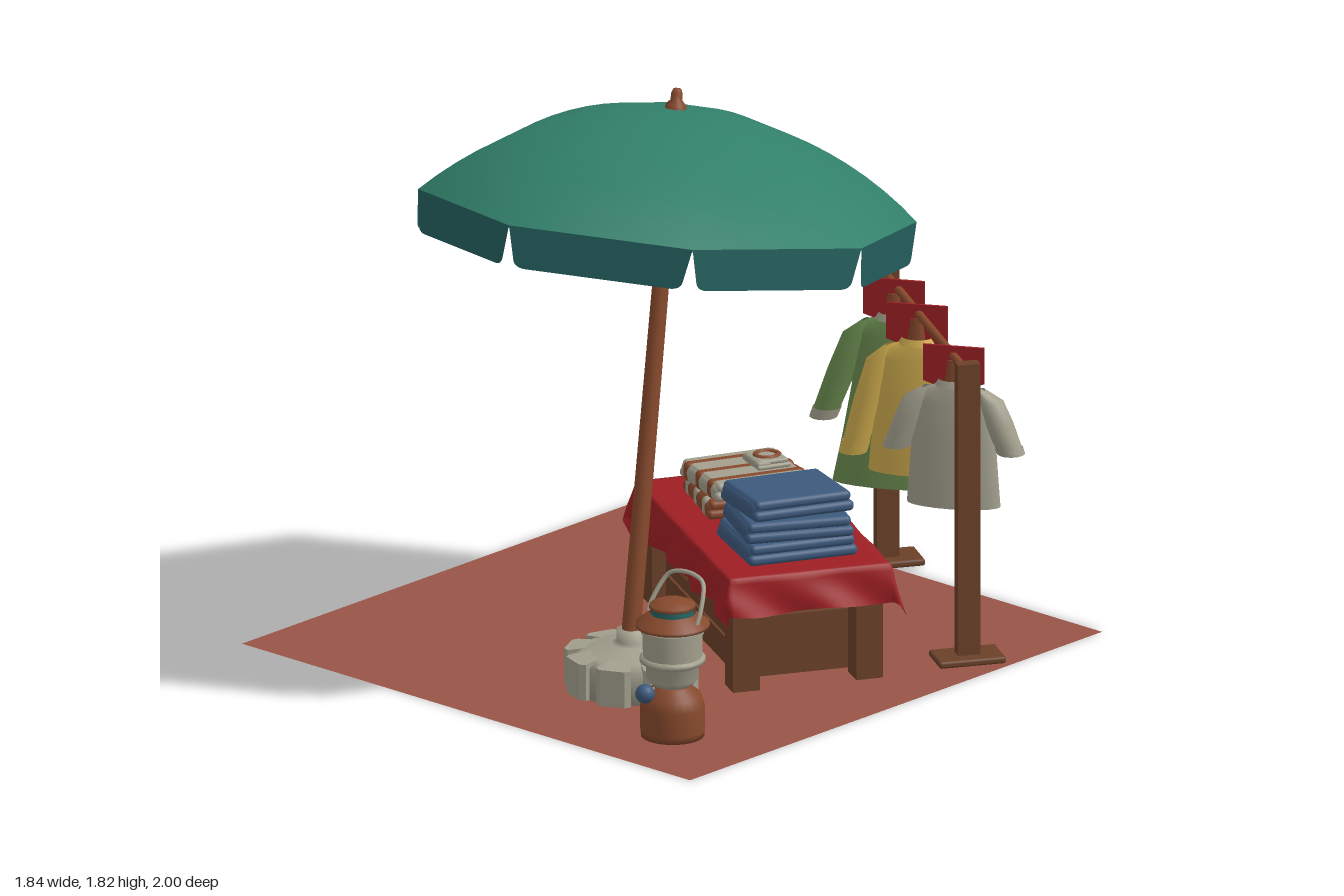
import * as THREE from 'three';
import { RoundedBoxGeometry } from 'three/addons/geometries/RoundedBoxGeometry.js';

const V2 = (x, y) => new THREE.Vector2(x, y);
const V3 = (x, y, z) => new THREE.Vector3(x, y, z);

export function createModel() {
  const model = new THREE.Group();
  model.name = 'marketStall';
  const mat = (name, color) => {
    const m = new THREE.MeshStandardMaterial({ color, side: THREE.DoubleSide });
    m.name = name;
    return m;
  };
  const M = {
    canopy: mat('canopyGreen', 0x31806a), teal: mat('teal', 0x235e5c), wood: mat('wood', 0x6b4129),
    rust: mat('rustBrown', 0x86492c), red: mat('red', 0x9e1f24), ground: mat('clay', 0x985446),
    stone: mat('stone', 0xa3a08e), blue: mat('denimBlue', 0x3d5a7d), yellow: mat('yellow', 0xcfac4e),
    green: mat('leafGreen', 0x6b8c50),
  };
  const add = (parent, name, geo, material, x = 0, y = 0, z = 0) => {
    const m = new THREE.Mesh(geo, material);
    m.name = name;
    m.position.set(x, y, z);
    parent.add(m);
    return m;
  };
  const group = (name, x, y, z, angle = 0, parent = model) => {
    const g = new THREE.Group();
    g.name = name;
    g.position.set(x, y, z);
    g.rotation.y = THREE.MathUtils.degToRad(angle);
    parent.add(g);
    return g;
  };
  const box = (w, h, d) => new THREE.BoxGeometry(w, h, d);
  const cyl = (rt, rb, h, n = 20) => new THREE.CylinderGeometry(rt, rb, h, n);
  const lathe = (pts, n = 24) => new THREE.LatheGeometry(pts.map(p => V2(...p)), n);
  // Elliptical rings [x, y, halfWidth, halfDepth], listed from top to bottom
  const loft = (rings, n = 20) => {
    const pos = [], idx = [];
    rings.forEach(([x, y, w, d], i) => {
      for (let j = 0; j < n; j++) {
        const t = j / n * Math.PI * 2;
        pos.push(x + w * Math.cos(t), y, d * Math.sin(t));
        if (!i) continue;
        const a = (i - 1) * n + j, b = (i - 1) * n + (j + 1) % n;
        idx.push(a, b, a + n, b, b + n, a + n);
      }
    });
    const g = new THREE.BufferGeometry();
    g.setAttribute('position', new THREE.Float32BufferAttribute(pos, 3));
    g.setIndex(idx);
    g.computeVertexNormals();
    return g;
  };

  // Ground sheet
  add(model, 'groundMat', new THREE.PlaneGeometry(1.84, 1.84).rotateX(-Math.PI / 2), M.ground, 0, 0, 0.06);

  // Umbrella base: a core with eight wedge weights
  const base = group('umbrellaBase', 0.215, 0.003, 0.475, 3);
  add(base, 'baseCore', lathe([[0, 0], [0.18, 0], [0.18, 0.1], [0.15, 0.12], [0.06, 0.14], [0.045, 0.15], [0.045, 0.185], [0, 0.185]], 16), M.stone);
  const wedge = new THREE.Shape([V2(0.05, -0.018), V2(0.185, -0.055), V2(0.2, -0.04), V2(0.2, 0.04), V2(0.185, 0.055), V2(0.05, 0.018)]);
  for (let i = 0; i < 8; i++) {
    const geo = new THREE.ExtrudeGeometry(wedge, { depth: 0.135, bevelEnabled: false }).rotateX(-Math.PI / 2);
    const p = geo.attributes.position;
    for (let k = 0; k < p.count; k++) if (p.getY(k) > 0.1 && p.getX(k) > 0.1) p.setY(k, 0.115);
    geo.computeVertexNormals();
    add(base, 'baseWeight', geo, M.stone).rotation.y = (i + 0.5) * Math.PI / 4;
  }

  // Leaning umbrella
  const umbrella = group('umbrella', 0.215, 0.15, 0.48);
  umbrella.quaternion.setFromUnitVectors(V3(0, 1, 0), V3(-0.085, 1.65, -0.3).normalize());
  add(umbrella, 'pole', cyl(0.024, 0.029, 1.64, 16), M.rust, 0, 0.82, 0);
  add(umbrella, 'poleCollar', cyl(0.034, 0.034, 0.045), M.teal, 0, 1.3, 0);
  const canopy = group('canopy', 0, 1.34, 0, 3, umbrella);
  const R = 0.76, H = 0.3, ball = (R * R + H * H) / (2 * H), edge = Math.asin(R / ball);
  const dome = [];
  for (let i = 0; i <= 12; i++) {
    const a = edge * (1 - i / 12);
    dome.push([ball * Math.sin(a), ball * Math.cos(a) - ball + H]);
  }
  add(canopy, 'canopyTop', lathe(dome, 8), M.canopy);
  add(canopy, 'canopyLining', lathe(dome, 8), M.teal, 0, -0.008, 0).scale.setScalar(0.995);
  add(canopy, 'finial', lathe([[0.034, 0.285], [0.032, 0.31], [0.018, 0.325], [0.018, 0.345], [0.012, 0.36], [0, 0.362]], 12), M.rust);
  const hw = R * Math.sin(Math.PI / 8), flap = new THREE.Shape();
  flap.moveTo(-hw, 0);
  flap.lineTo(-hw + 0.022, -0.1);
  flap.quadraticCurveTo(-hw + 0.026, -0.125, -hw + 0.06, -0.127);
  flap.lineTo(hw - 0.06, -0.127);
  flap.quadraticCurveTo(hw - 0.026, -0.125, hw - 0.022, -0.1);
  flap.lineTo(hw, 0);
  for (let i = 0; i < 8; i++) {
    const a = (i + 0.5) * Math.PI / 4, r = R * Math.cos(Math.PI / 8);
    add(canopy, 'valance', new THREE.ShapeGeometry(flap), M.teal, r * Math.sin(a), 0, r * Math.cos(a)).rotation.y = a;
  }

  // Table with crates under it
  const table = group('table', 0.21, 0.003, -0.12, -30);
  add(table, 'tableTop', box(0.94, 0.04, 0.5), M.wood, 0, 0.345, 0);
  for (const s of [-1, 1]) {
    for (const t of [-1, 1]) add(table, 'tableLeg', box(0.085, 0.33, 0.085), M.wood, s * 0.41, 0.165, t * 0.195);
    add(table, 'longApron', box(0.76, 0.1, 0.03), M.wood, 0, 0.285, s * 0.2);
    add(table, 'endApron', box(0.03, 0.1, 0.36), M.wood, s * 0.42, 0.285, 0);
    const crate = group('crate', s * 0.185, 0, 0, 0, table);
    add(crate, 'crateBody', box(0.35, 0.19, 0.37), M.wood, 0, 0.105, 0);
    for (const t of [-1, 1]) {
      for (const y of [0.06, 0.155]) add(crate, 'crateSlat', box(0.352, 0.085, 0.012), M.wood, 0, y, t * 0.189);
      add(crate, 'crateHandle', new RoundedBoxGeometry(0.08, 0.025, 0.008, 2, 0.003), M.rust, 0, 0.165, t * 0.196);
    }
  }

  // Draped tablecloth: everything past the table edge falls, with ripples
  const cloth = new THREE.PlaneGeometry(1.21, 0.77, 60, 40).rotateX(-Math.PI / 2);
  const cp = cloth.attributes.position;
  for (let i = 0; i < cp.count; i++) {
    const x = cp.getX(i), z = cp.getZ(i);
    const ox = Math.max(0, Math.abs(x) - 0.475), oz = Math.max(0, Math.abs(z) - 0.255);
    const fall = Math.hypot(ox, oz), ripple = 1 + 0.5 * Math.sin(x * 26 + z * 22);
    cp.setXYZ(i,
      Math.sign(x) * (Math.min(Math.abs(x), 0.475) + ox * 0.2 * ripple),
      0.372 - Math.max(0, fall - 0.008) * 0.95 - 0.05 * fall * Math.sin(x * 17 - z * 19),
      Math.sign(z) * (Math.min(Math.abs(z), 0.255) + oz * 0.2 * ripple));
  }
  cloth.computeVertexNormals();
  add(table, 'tablecloth', cloth, M.red);

  // Folded denim: each garment is two plies joined by a rounded fold
  const folded = (parent, name, w, d, h, material, x, y, z, turn, tilt) => {
    const g = group(name, x, y, z, turn, parent);
    g.rotation.z = tilt;
    for (const s of [-1, 1])
      add(g, 'ply', new RoundedBoxGeometry(w - (s > 0 ? 0.012 : 0), h * 0.52, d - (s > 0 ? 0.015 : 0), 3, h * 0.24), material, 0, s * h * 0.24, 0);
    add(g, 'fold', new RoundedBoxGeometry(w * 0.94, h * 0.9, 0.05, 3, h * 0.4), material, 0, 0, d / 2 - 0.024);
    return g;
  };
  for (let i = 0; i < 3; i++)
    folded(table, 'foldedJeans', 0.31 - i * 0.008, 0.35 - i * 0.012, 0.064, M.blue, 0.24 + (i % 2) * 0.012, 0.408 + i * 0.065, 0, [2, -3, 4][i], 0.03 * i);

  // Folded striped shirts
  [[0, M.rust], [1, M.stone]].forEach(([i, m]) => {
    const g = folded(table, 'foldedShirt', 0.3, 0.31, 0.056, m, -0.19, 0.404 + i * 0.057, 0, i ? 5 : -2, 0.03 * i);
    for (let k = -1; k <= 1; k++)
      add(g, 'stripe', new RoundedBoxGeometry(0.042, 0.06, 0.316, 3, 0.016), i ? M.rust : M.stone, k * 0.094, 0, 0);
  });
  const collar = folded(table, 'shirtCollar', 0.13, 0.11, 0.028, M.stone, -0.19, 0.503, -0.07, 5, 0.03);
  add(collar, 'collarBand', new THREE.TorusGeometry(0.035, 0.009, 8, 16).rotateX(Math.PI / 2), M.rust, 0, 0.012, 0);

  // Clothes rack
  const rack = group('clothesRack', 0.408, 0.003, -0.635, -32);
  for (const s of [-1, 1]) {
    add(rack, 'rackFoot', new RoundedBoxGeometry(0.13, 0.022, 0.21, 2, 0.008), M.wood, s * 0.462, 0.011, 0);
    add(rack, 'rackPost', box(0.04, 0.95, 0.07), M.wood, s * 0.462, 0.477, 0);
  }
  add(rack, 'rackRail', cyl(0.013, 0.013, 0.92, 12).rotateZ(Math.PI / 2), M.rust, 0, 0.92, 0);

  // Hanging shirts: body, mirrored sleeves, cuffs, neckband and hanger
  const shirt = (name, x, z, m, trim, hem, hemW, cuffX, cuffY) => {
    const g = group(name, x, 0, z, 30);
    const drop = t => 0.78 + (hem - 0.78) * t;
    add(g, 'shirtBody', loft([[0, 0.835, 0.052, 0.035], [0, 0.815, 0.095, 0.038], [0, 0.78, 0.128, 0.043],
      [0, drop(0.35), 0.13, 0.05], [0, drop(0.7), (0.13 + hemW) / 2, 0.052], [0, hem, hemW, 0.055]]), m);
    add(g, 'neckband', loft([[0, 0.85, 0.046, 0.033], [0, 0.828, 0.06, 0.04]]), trim);
    for (const s of [-1, 1]) {
      const mix = t => [s * (0.105 + (cuffX - 0.105) * t), 0.805 + (cuffY - 0.805) * t];
      add(g, 'sleeve', loft([[s * 0.085, 0.82, 0.012, 0.02], [...mix(0.1), 0.042, 0.036],
        [...mix(0.5), 0.045, 0.042], [...mix(1), 0.04, 0.04]], 14), m);
      add(g, 'cuff', loft([[...mix(0.92), 0.044, 0.044], [...mix(1.03), 0.043, 0.043]], 14), trim);
    }
    // Hanger: a red plate with a brown neck
    const plate = new THREE.Shape([V2(-0.095, 0.955), V2(-0.095, 0.84), V2(-0.05, 0.825), V2(0.05, 0.825), V2(0.095, 0.84), V2(0.095, 0.955)]);
    add(g, 'hangerPlate', new THREE.ExtrudeGeometry(plate, { depth: 0.008, bevelEnabled: false }), M.red, 0, 0, -0.004);
    add(g, 'hangerNeck', cyl(0.02, 0.034, 0.1, 12), M.rust, 0, 0.86, 0).scale.z = 0.5;
  };
  shirt('greenShirt', 0.12, -0.8, M.green, M.stone, 0.3, 0.19, 0.215, 0.51);
  shirt('yellowShirt', 0.325, -0.68, M.yellow, M.yellow, 0.42, 0.15, 0.195, 0.48);
  shirt('greyShirt', 0.665, -0.475, M.stone, M.stone, 0.45, 0.145, 0.175, 0.63);

  // Lantern
  const lantern = group('lantern', 0.605, 0.003, 0.715);
  add(lantern, 'fuelTank', lathe([[0, 0], [0.096, 0], [0.098, 0.02], [0.098, 0.095], [0.088, 0.13], [0.06, 0.155], [0.045, 0.17], [0, 0.17]], 28), M.rust);
  add(lantern, 'glassSeat', lathe([[0, 0.165], [0.062, 0.165], [0.08, 0.185], [0.08, 0.225], [0.1, 0.238], [0.1, 0.25], [0.09, 0.255]], 28), M.stone);
  add(lantern, 'glass', cyl(0.092, 0.09, 0.11, 28), M.stone, 0, 0.305, 0);
  add(lantern, 'glassBand', cyl(0.096, 0.096, 0.012, 28), M.stone, 0, 0.335, 0);
  add(lantern, 'hood', lathe([[0.085, 0.345], [0.113, 0.35], [0.113, 0.36], [0.075, 0.388], [0.07, 0.392]], 28), M.rust);
  add(lantern, 'vent', cyl(0.062, 0.066, 0.022, 24), M.teal, 0, 0.4, 0);
  add(lantern, 'cap', lathe([[0.06, 0.408], [0.072, 0.41], [0.068, 0.42], [0.035, 0.434], [0, 0.437]], 24), M.rust);
  add(lantern, 'valveKnob', new THREE.SphereGeometry(0.03, 16, 12), M.blue, -0.03, 0.147, 0.09);
  add(lantern, 'valveStem', cyl(0.011, 0.011, 0.06, 10).rotateX(Math.PI / 2), M.stone, -0.03, 0.147, 0.06);
  const arch = [[-0.1, 0.375, 0], [-0.098, 0.41, -0.018], [-0.07, 0.485, -0.06], [-0.03, 0.5, -0.068],
    [0.03, 0.5, -0.068], [0.07, 0.485, -0.06], [0.098, 0.41, -0.018], [0.1, 0.375, 0]];
  add(lantern, 'handle', new THREE.TubeGeometry(new THREE.CatmullRomCurve3(arch.map(p => V3(...p))), 40, 0.007, 8), M.stone);

  return model;
}
